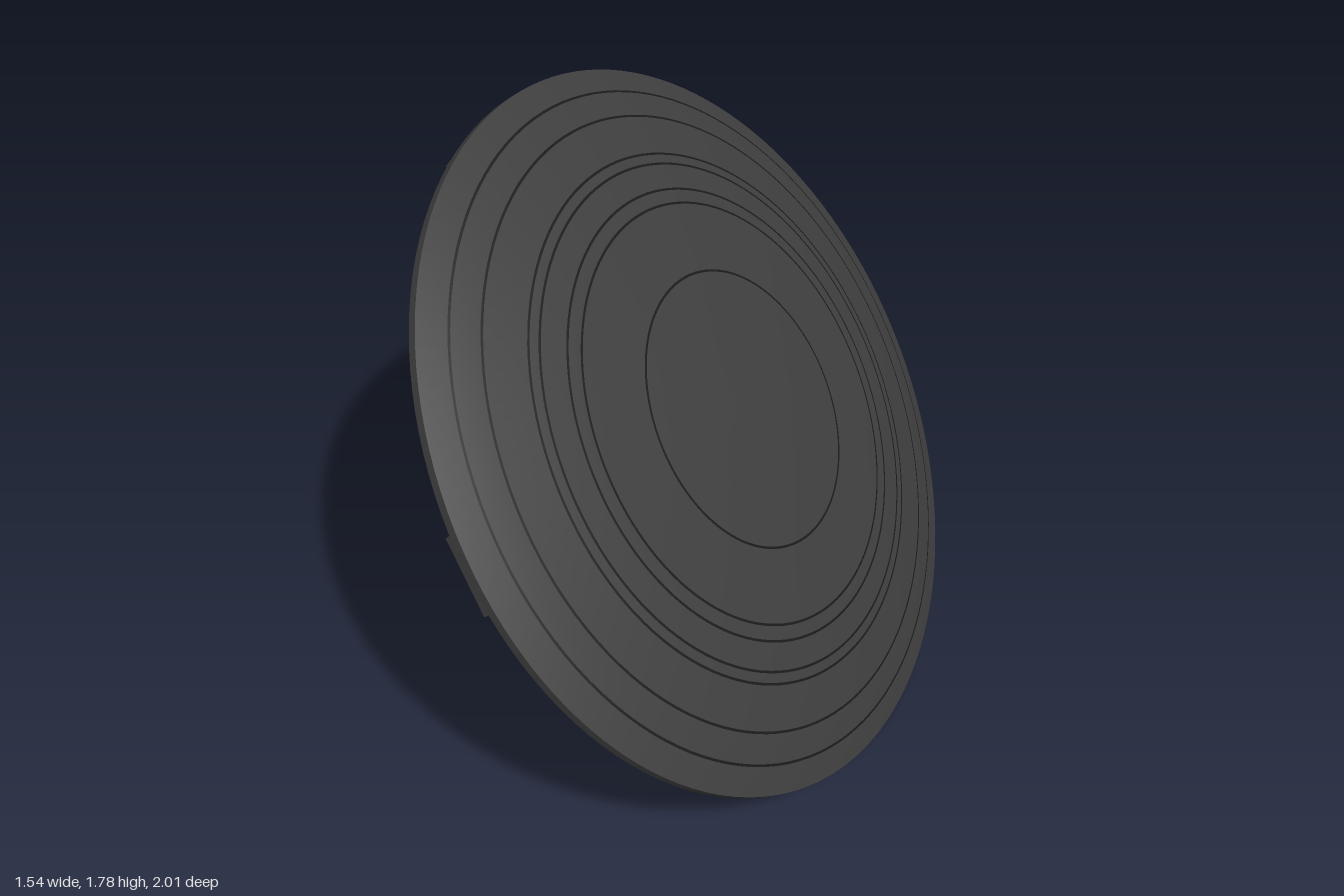
import * as THREE from 'three';

const mat = (name, color) => {
  const m = new THREE.MeshStandardMaterial({ color });
  m.name = name;
  return m;
};

export function createModel() {
  const steel = mat('dark steel', 0x3e3e3e);
  const groove = mat('groove black', 0x1a1a1a);
  const leather = mat('brown leather', 0x64330c);
  const metal = mat('grey metal', 0x9a9a9a);

  // Shield space: z points out of the front, straps run along y at x = +-0.49
  const shield = new THREE.Group();
  shield.name = 'shield';
  const add = (name, geometry, material, parent = shield) => {
    const mesh = new THREE.Mesh(geometry, material);
    mesh.name = name;
    parent.add(mesh);
    return mesh;
  };

  // Dome height over radius
  const R = 1.084, half = 0.012;
  const profile = [[0, 0.15], [0.2, 0.147], [0.41, 0.133], [0.627, 0.111], [0.672, 0.105],
    [0.755, 0.09], [0.788, 0.084], [0.917, 0.054], [1.003, 0.03], [R, 0]];
  const dome = (r) => {
    const i = Math.max(1, profile.findIndex((p) => p[0] >= r));
    const [a, b] = [profile[i - 1], profile[i]];
    return a[1] + (b[1] - a[1]) * (r - a[0]) / (b[0] - a[0]);
  };
  const lathe = (pts) =>
    new THREE.LatheGeometry(pts.map((p) => new THREE.Vector2(p[0], p[1])), 128).rotateX(Math.PI / 2);

  add('frontFace', lathe(profile.map(([r, h]) => [r, h + half]).reverse()), steel);
  add('backFace', lathe(profile.map(([r, h]) => [r, h - half])), steel);
  add('rimEdge', lathe([[R, -half], [R, half]]), steel);

  // Concentric grooves on both faces
  for (const r of [0.412, 0.627, 0.672, 0.755, 0.788, 0.917, 1.003]) {
    const a = r - 0.0035, b = r + 0.0035, lift = half + 0.002;
    add('frontGroove', lathe([[b, dome(b) + lift], [a, dome(a) + lift]]), groove);
    add('backGroove', lathe([[a, dome(a) - lift], [b, dome(b) - lift]]), groove);
  }

  // Mounting plates: flat pieces sloped to follow the hollow back
  const thick = 0.022;
  const plateZ = (x, y) => 0.068 - 0.18 * (Math.hypot(x, y) - 0.507);
  const plate = (corners) => {
    const g = new THREE.ExtrudeGeometry(new THREE.Shape(corners.map(([x, y]) => new THREE.Vector2(x, y))),
      { depth: thick, bevelEnabled: false });
    const p = g.attributes.position;
    for (let i = 0; i < p.count; i++) p.setZ(i, p.getZ(i) + plateZ(p.getX(i), p.getY(i)));
    g.computeVertexNormals();
    return g;
  };

  const rivetGeo = new THREE.SphereGeometry(0.011, 8, 6);
  const rivetRow = (parent, a, b, n) => {
    for (let i = 0; i < n; i++) {
      const t = (i + 0.5) / n;
      const lerp = (u, v) => u + (v - u) * t;
      add('rivet', rivetGeo, metal, parent)
        .position.set(lerp(a[0], b[0]), lerp(a[1], b[1]), lerp(plateZ(...a), plateZ(...b)));
    }
  };

  // Rectangular buckle frame
  const buckleShape = (w, l, bar) => {
    const rect = (P, x, y) => {
      const p = new P();
      p.moveTo(-x, -y); p.lineTo(x, -y); p.lineTo(x, y); p.lineTo(-x, y); p.closePath();
      return p;
    };
    const s = rect(THREE.Shape, w / 2, l / 2);
    s.holes.push(rect(THREE.Path, w / 2 - bar, l / 2 - bar));
    return s;
  };
  const buckleGeo = new THREE.ExtrudeGeometry(buckleShape(0.16, 0.07, 0.016),
    { depth: 0.02, bevelEnabled: false });

  // Strap bowed away from the back
  const strapZ = (y) => 0.048 - 0.025 * (1 - (y / 0.39) ** 2);
  const strapGeo = new THREE.BoxGeometry(0.125, 0.78, 0.016, 1, 16, 1);
  const sp = strapGeo.attributes.position;
  for (let i = 0; i < sp.count; i++) sp.setZ(i, sp.getZ(i) + strapZ(sp.getY(i)));
  strapGeo.computeVertexNormals();

  for (const s of [1, -1]) {
    const handle = new THREE.Group();
    handle.name = s > 0 ? 'upperHandle' : 'lowerHandle';
    shield.add(handle);

    add('centrePlate', plate([[s * 0.385, -0.33], [s * 0.6, -0.245], [s * 0.6, 0.245], [s * 0.385, 0.33]]),
      steel, handle);
    rivetRow(handle, [s * 0.405, -0.31], [s * 0.405, 0.31], 7);
    rivetRow(handle, [s * 0.58, -0.24], [s * 0.58, 0.24], 5);

    for (const e of [1, -1]) {
      add('armPlate', plate([[s * 0.385, e * 0.33], [s * 0.83, e * 0.69], [s * 0.95, e * 0.51],
        [s * 0.6, e * 0.245]]), steel, handle);
      rivetRow(handle, [s * 0.42, e * 0.325], [s * 0.83, e * 0.655], 6);
      rivetRow(handle, [s * 0.6, e * 0.275], [s * 0.92, e * 0.52], 5);
    }

    add('strap', strapGeo, leather, handle).position.x = s * 0.49;

    // Buckles, each with a prong
    for (const y of [-0.28, 0.05, 0.22]) {
      const buckle = new THREE.Group();
      buckle.name = 'buckle';
      buckle.position.set(s * 0.49, y, strapZ(y) - 0.024);
      handle.add(buckle);
      add('buckleFrame', buckleGeo, metal, buckle);
      add('bucklePin', new THREE.BoxGeometry(0.012, 0.075, 0.012), metal, buckle);
    }
  }

  // Lean the shield
  const n = new THREE.Vector3(0.713, 0.585, 0.387).normalize();
  const y = new THREE.Vector3().crossVectors(n, new THREE.Vector3(-0.7, 0.583, 0.409)).normalize();
  const x = new THREE.Vector3().crossVectors(y, n);
  shield.quaternion.setFromRotationMatrix(new THREE.Matrix4().makeBasis(x, y, n));
  shield.position.y = 0.885;

  const model = new THREE.Group();
  model.name = 'roundShield';
  model.add(shield);
  return model;
}
